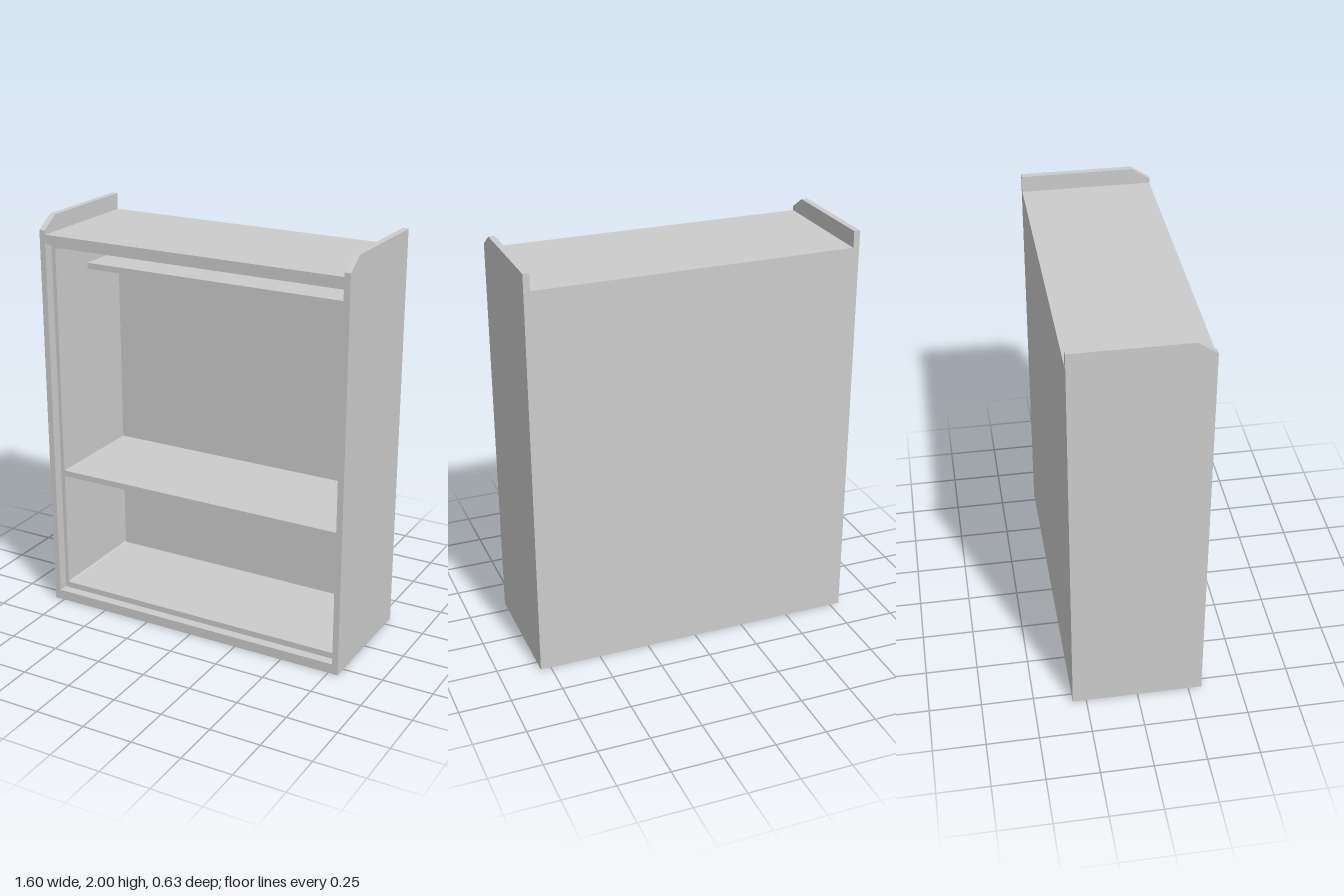
import * as THREE from 'three';

export function createModel() {
  const group = new THREE.Group();
  const material = new THREE.MeshStandardMaterial({ color: 0xcccccc });
  const BACK = -0.315, FRONT = 0.315, INNER_FRONT = 0.265, BACK_WALL = -0.28;

  const add = (name, geometry) => {
    const mesh = new THREE.Mesh(geometry, material);
    mesh.name = name;
    group.add(mesh);
    return mesh;
  };

  // Box given by its half width, height range and depth range
  const board = (name, halfWidth, y0, y1, z0, z1) => {
    const mesh = add(name, new THREE.BoxGeometry(halfWidth * 2, y1 - y0, z1 - z0));
    mesh.position.set(0, (y0 + y1) / 2, (z0 + z1) / 2);
  };

  // Side panels with a clipped upper front corner, drawn in (-z, y)
  const profile = new THREE.Shape([
    [-FRONT, 0], [-BACK, 0], [-BACK, 2], [-0.225, 2], [-FRONT, 1.94],
  ].map(([u, v]) => new THREE.Vector2(u, v)));
  for (const [name, x] of [['leftSide', 0.77], ['rightSide', -0.8]]) {
    const geometry = new THREE.ExtrudeGeometry(profile, { depth: 0.03, bevelEnabled: false });
    geometry.rotateY(Math.PI / 2);
    add(name, geometry).position.x = x;
  }

  // Outer top and bottom boards between the sides
  board('topBoard', 0.77, 1.875, 1.92, BACK, FRONT - 0.002);
  board('bottomBoard', 0.77, 0, 0.05, BACK, FRONT - 0.002);

  // Recessed inner carcass: a rectangular sleeve with small corner radii
  const sleeve = new THREE.Shape();
  sleeve.moveTo(-0.77, 0.05).lineTo(0.77, 0.05).lineTo(0.77, 1.875).lineTo(-0.77, 1.875).closePath();
  const hole = new THREE.Path();
  const w = 0.75, y0 = 0.08, y1 = 1.85, r = 0.008;
  hole.absarc(w - r, y1 - r, r, 0, Math.PI / 2);
  hole.absarc(-w + r, y1 - r, r, Math.PI / 2, Math.PI);
  hole.absarc(-w + r, y0 + r, r, Math.PI, Math.PI * 1.5);
  hole.absarc(w - r, y0 + r, r, Math.PI * 1.5, Math.PI * 2);
  sleeve.holes.push(hole);
  const carcass = new THREE.ExtrudeGeometry(sleeve, {
    depth: INNER_FRONT - BACK, bevelEnabled: false, curveSegments: 3,
  });
  add('innerCarcass', carcass).position.z = BACK;

  // Back wall closing the carcass
  board('backPanel', w, y0, y1, BACK, BACK_WALL);

  // Full-depth lower shelf and half-depth upper shelf
  board('lowerShelf', w, 0.675, 0.705, BACK_WALL, INNER_FRONT);
  board('upperShelf', w, 1.685, 1.715, BACK_WALL, 0);

  return group;
}
